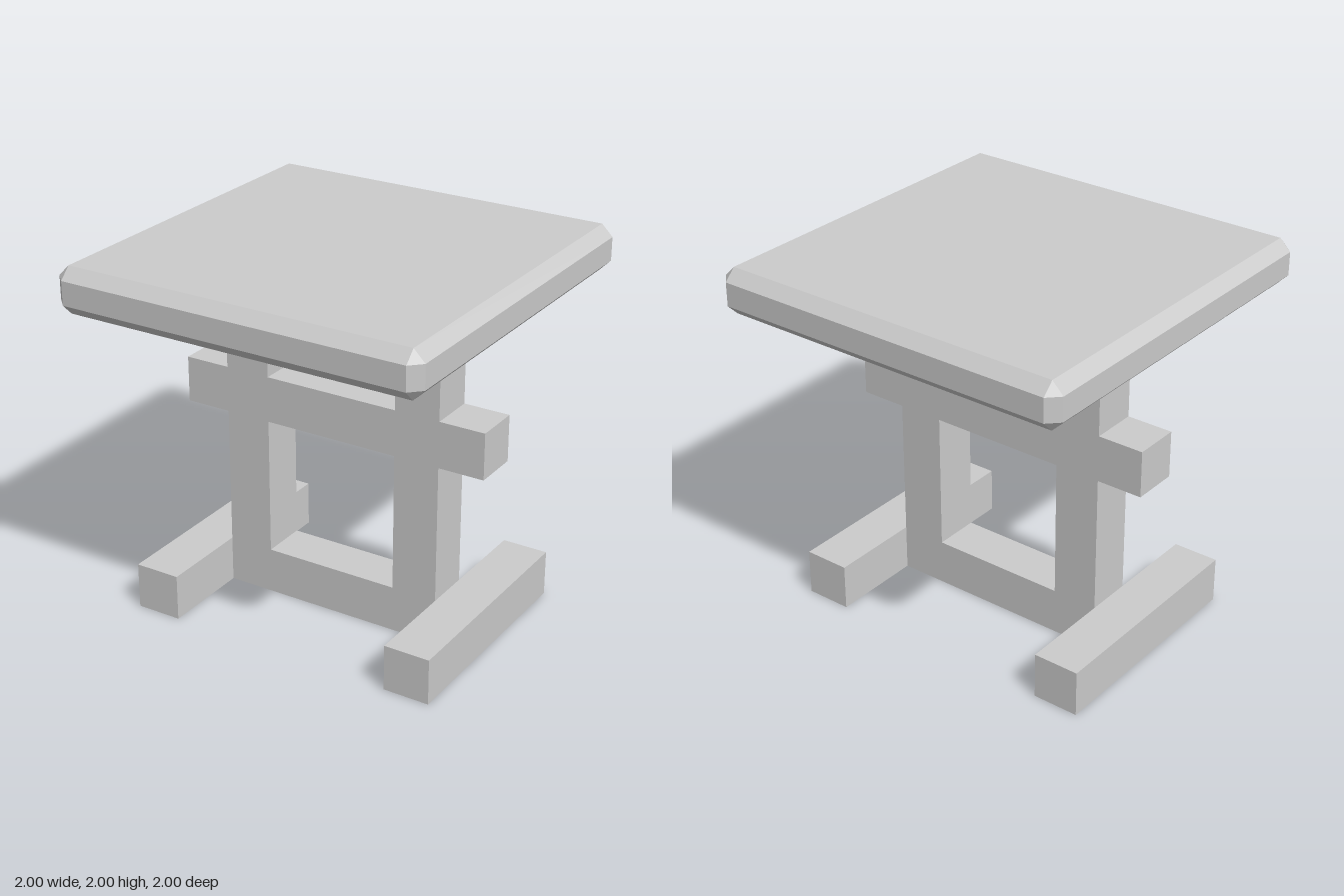
import * as THREE from 'three';
import { ConvexGeometry } from 'three/addons/geometries/ConvexGeometry.js';

export function createModel() {
  const group = new THREE.Group();
  const material = new THREE.MeshStandardMaterial({ color: 0xcccccc, flatShading: true });
  const add = (name, geometry, x = 0, y = 0, z = 0) => {
    const mesh = new THREE.Mesh(geometry, material);
    mesh.name = name;
    mesh.position.set(x, y, z);
    group.add(mesh);
  };
  const points = (list) => list.map(([x, y]) => new THREE.Vector2(x, y));

  // Box with every edge chamfered: each corner becomes three points
  const chamferedBox = (w, h, d, c) => {
    const corners = [];
    for (const sx of [-1, 1]) for (const sy of [-1, 1]) for (const sz of [-1, 1]) {
      for (let axis = 0; axis < 3; axis++) {
        const p = [w / 2 - c, h / 2 - c, d / 2 - c];
        p[axis] += c;
        corners.push(new THREE.Vector3(sx * p[0], sy * p[1], sz * p[2]));
      }
    }
    return new ConvexGeometry(corners);
  };

  // Table top
  const bottom = 1.755, height = 2 - bottom;
  add('tableTop', chamferedBox(2, height, 2, 0.06), 0, bottom + height / 2, 0);

  // Frame: two posts, bottom beam and a crossbar with projecting ends
  const side = [
    [0.625, 0], [0.625, 1], [0.875, 1], [0.875, 1.25],
    [0.625, 1.25], [0.625, bottom], [0.375, bottom], [0.375, 1.25],
  ];
  const mirrored = side.map(([x, y]) => [-x, y]).reverse();
  const shape = new THREE.Shape(points([...side, ...mirrored]));
  shape.holes.push(new THREE.Path(points([[-0.375, 0.25], [-0.375, 1], [0.375, 1], [0.375, 0.25]])));
  add('frame', new THREE.ExtrudeGeometry(shape, { depth: 0.25, bevelEnabled: false }), 0, 0, -0.125);

  // Feet running front to back
  for (const [name, s] of [['leftFoot', 1], ['rightFoot', -1]]) {
    add(name, new THREE.BoxGeometry(0.25, 0.25, 1.25), s * 0.75, 0.125, 0);
  }
  return group;
}
